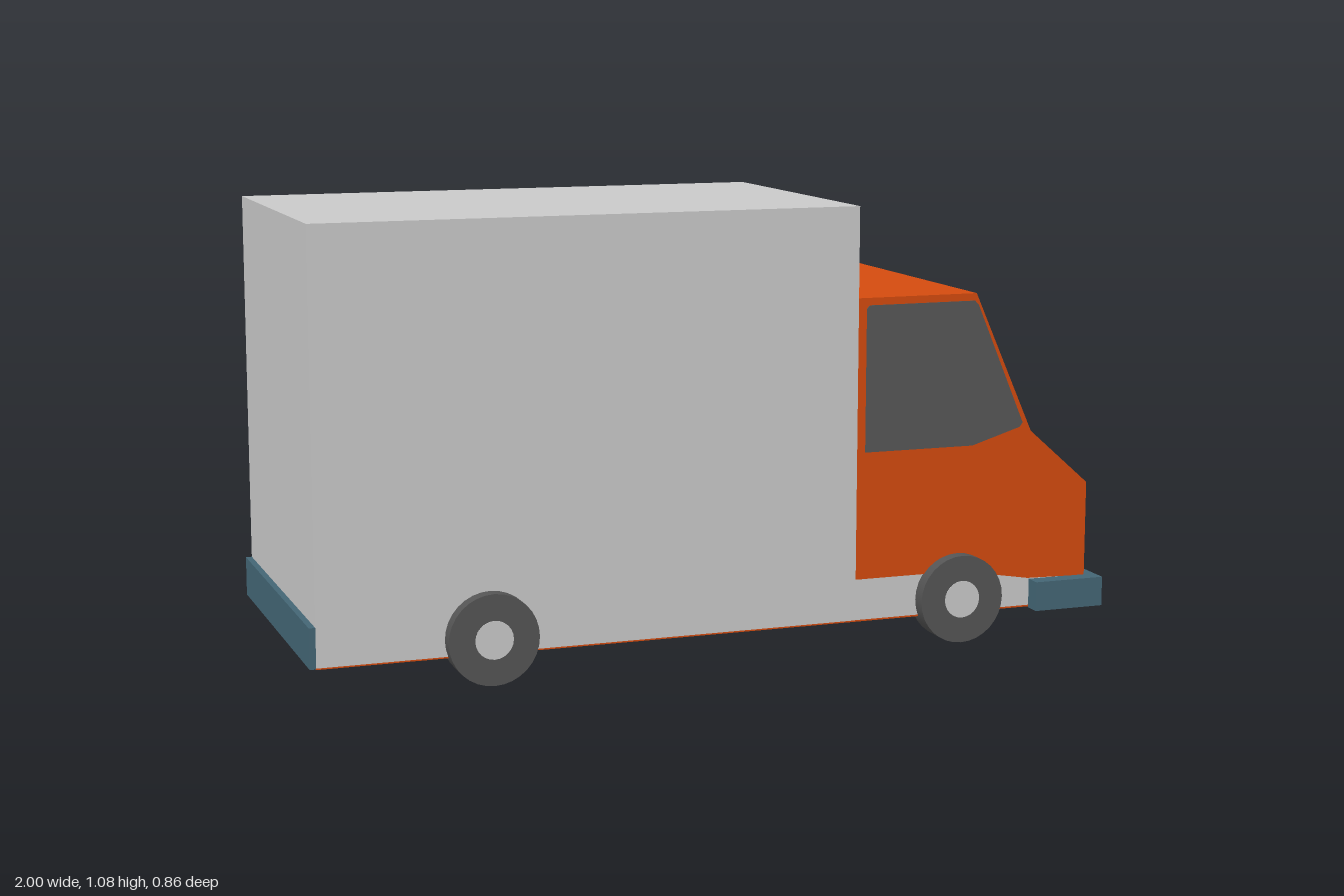
import * as THREE from 'three';

const paint = (name, color) => Object.assign(new THREE.MeshStandardMaterial({ color }), { name });

export function createModel() {
  const mats = {
    grey: paint('cargo grey', 0xcacaca),
    orange: paint('cab orange', 0xd44b0f),
    glass: paint('dark glass', 0x575757),
    tyre: paint('tyre grey', 0x555555),
    bumper: paint('bumper blue', 0x446675),
    lamp: paint('headlight cyan', 0x22c4d0),
    grille: paint('grille pinkish grey', 0xb09c99),
  };
  const van = new THREE.Group();
  van.name = 'boxVan';

  const add = (name, geometry, mat, parent = van) => {
    const mesh = new THREE.Mesh(geometry, mat);
    mesh.name = name;
    parent.add(mesh);
    return mesh;
  };
  // Box given by its limits on each axis
  const box = (name, mat, [x0, x1], [y0, y1], [z0, z1], parent = van) => {
    const mesh = add(name, new THREE.BoxGeometry(x1 - x0, y1 - y0, z1 - z0), mat, parent);
    mesh.position.set((x0 + x1) / 2, (y0 + y1) / 2, (z0 + z1) / 2);
    return mesh;
  };
  const outline = (pts) => new THREE.Shape(pts.map(([x, y]) => new THREE.Vector2(x, y)));
  const extrude = (shape, depth) => new THREE.ExtrudeGeometry(shape, { depth, bevelEnabled: false });

  // Thin plate with clipped corners, facing +x and leaning back by tilt
  const plate = (name, mat, width, height, clip, [x, y, z], tilt = 0) => {
    const w = width / 2, h = height / 2, c = clip;
    const shape = outline([[-w + c, -h], [w - c, -h], [w, -h + c], [w, h - c],
      [w - c, h], [-w + c, h], [-w, h - c], [-w, -h + c]]);
    const mesh = add(name, extrude(shape, 0.004), mat);
    mesh.rotation.set(0, Math.PI / 2, tilt, 'ZYX');
    mesh.position.set(x, y, z);
  };

  // Cargo body, chassis and floor
  box('cargoBox', mats.grey, [-0.985, 0.345], [0.07, 1.08], [-0.386, 0.386]);
  box('chassis', mats.grey, [0.345, 0.96], [0.07, 0.18], [-0.384, 0.384]);
  box('underside', mats.orange, [-0.985, 0.968], [0.066, 0.07], [-0.384, 0.384]);

  // Cab: side profile extruded across the width
  const cab = extrude(outline([[0.345, 0.172], [0.62, 0.172], [0.81, 0.14], [0.968, 0.136],
    [0.968, 0.373], [0.81, 0.512], [0.655, 0.86], [0.345, 0.86]]), 0.776);
  add('cab', cab, mats.orange).position.z = -0.388;

  // Windows
  const sideGlass = extrude(outline([[0.365, 0.485], [0.65, 0.485], [0.778, 0.524],
    [0.786, 0.535], [0.66, 0.832], [0.65, 0.842], [0.372, 0.842], [0.365, 0.834]]), 0.003);
  add('leftOrRightWindowNear', sideGlass, mats.glass).position.z = 0.387;
  add('leftOrRightWindowFar', sideGlass, mats.glass).position.z = -0.39;
  plate('windshield', mats.glass, 0.73, 0.366, 0.01, [0.7314, 0.6875, 0], Math.atan2(0.155, 0.348));

  // Nose details
  plate('grille', mats.grille, 0.34, 0.086, 0.012, [0.966, 0.279, 0]);
  for (const s of [1, -1]) plate('headlight', mats.lamp, 0.162, 0.08, 0.018, [0.966, 0.28, s * 0.29]);

  // Wrap-around front bumper and flat rear bumper
  const bumper = new THREE.Group();
  bumper.name = 'frontBumper';
  van.add(bumper);
  box('bumperBar', mats.bumper, [0.968, 0.998], [0.064, 0.137], [-0.428, 0.428], bumper);
  for (const s of [1, -1]) {
    const end = box('bumperEnd', mats.bumper, [0.815, 0.968], [0.064, 0.137], [0.386, 0.428], bumper);
    end.position.z *= s;
  }
  box('rearBumper', mats.bumper, [-1, -0.985], [0.068, 0.165], [-0.386, 0.386]);

  // Wheels with flat hub discs on the outside
  for (const x of [-0.575, 0.615]) for (const s of [1, -1]) {
    const wheel = new THREE.Group();
    wheel.name = 'wheel';
    wheel.position.set(x, 0.109, s * 0.389);
    wheel.rotation.x = s * Math.PI / 2;
    add('tyre', new THREE.CylinderGeometry(0.109, 0.109, 0.063, 32), mats.tyre, wheel);
    add('hub', new THREE.CylinderGeometry(0.046, 0.046, 0.004, 24), mats.grey, wheel).position.y = 0.031;
    van.add(wheel);
  }
  return van;
}
